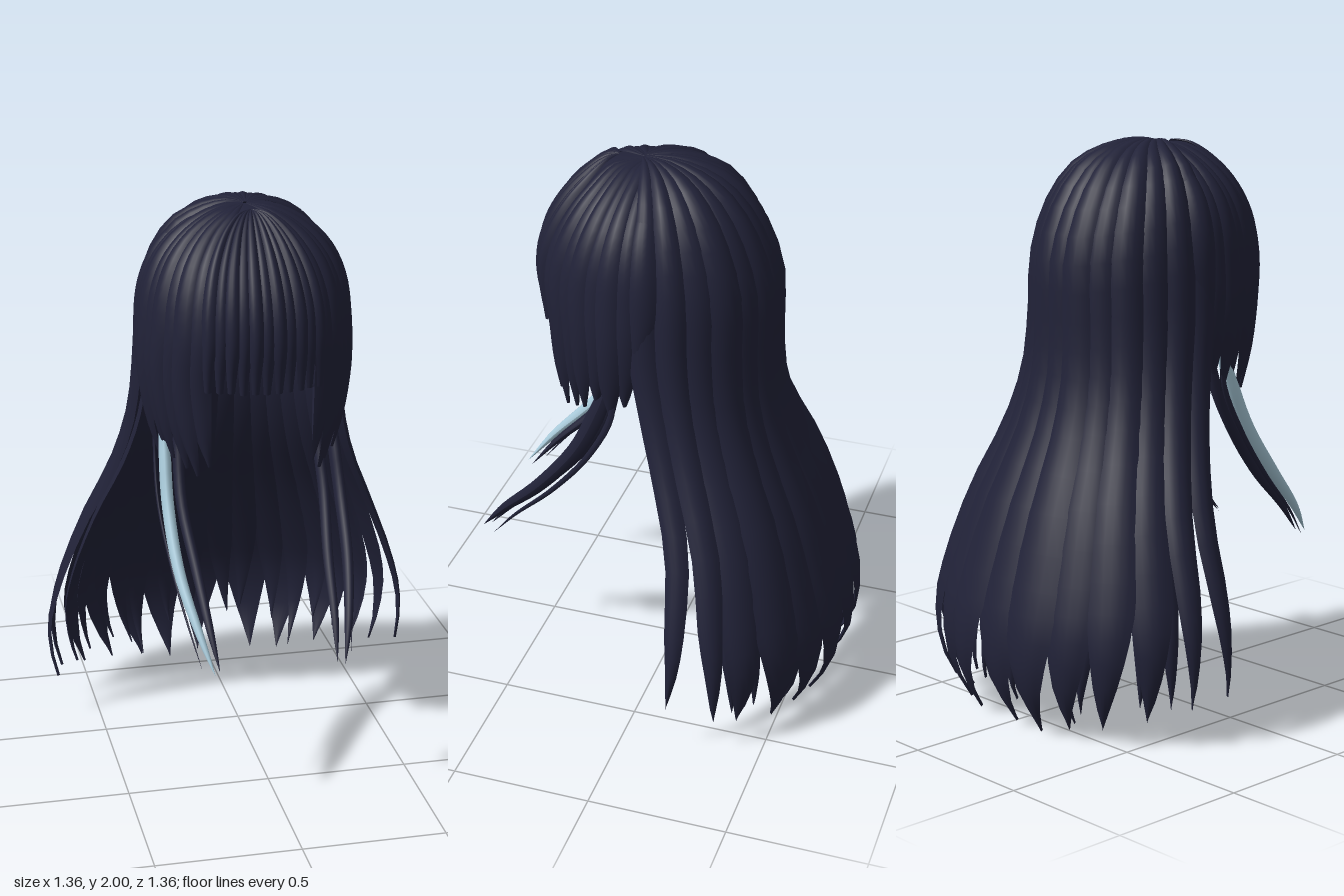
import * as THREE from 'three';

// Hair surface from rows of [half width, height, centre z, depth]; sign -1 = back, +1 = front
function makeShell(rows, sign) {
  const a = new THREE.CatmullRomCurve3(rows.map(r => new THREE.Vector3(r[0], r[1], r[2])));
  const b = new THREE.CatmullRomCurve3(rows.map(r => new THREE.Vector3(r[3], r[1], 0)));
  const point = (t, u) => {
    const p = a.getPoint(u), d = b.getPoint(u).x;
    return new THREE.Vector3(p.x * Math.sin(t), p.y, p.z + sign * d * Math.cos(t));
  };
  // Surface point pushed along the outward normal
  return (t, u, offset) => {
    const e = 0.004, p = point(t, u);
    const dt = point(t + e, u).sub(point(t - e, u));
    const du = point(t, Math.min(1, u + e)).sub(point(t, Math.max(0, u - e)));
    const n = dt.cross(du).normalize();
    const c = a.getPoint(u);
    const out = p.clone().sub(new THREE.Vector3(0, Math.min(p.y, 1.4), c.z));
    if (n.dot(out) < 0) n.negate();
    return p.addScaledVector(n, offset * Math.min(1, c.x / 0.25));
  };
}

const backShell = makeShell([
  [0, 1.988, 0.12, 0], [0.06, 1.995, 0.1, 0.08], [0.14, 1.973, 0.08, 0.17], [0.24, 1.91, 0.06, 0.26],
  [0.32, 1.78, 0.05, 0.35], [0.362, 1.6, 0.05, 0.415], [0.375, 1.4, 0.04, 0.41], [0.395, 1.2, 0, 0.38],
  [0.45, 1.0, -0.06, 0.375], [0.56, 0.75, -0.14, 0.405], [0.655, 0.5, -0.16, 0.475],
  [0.69, 0.33, -0.165, 0.515], [0.665, 0.15, -0.15, 0.525], [0.58, -0.02, -0.16, 0.43]], -1);

const fringeRows = [
  [0, 1.985, 0.2, 0], [0.1, 1.975, 0.16, 0.09], [0.21, 1.92, 0.13, 0.19], [0.3, 1.83, 0.11, 0.29],
  [0.35, 1.72, 0.1, 0.36], [0.37, 1.58, 0.1, 0.39], [0.375, 1.42, 0.1, 0.375],
  [0.355, 1.25, 0.1, 0.37], [0.31, 1.08, 0.1, 0.35]];
const fringeShell = makeShell(fringeRows, 1);
// Same dome reaching back to the crown, for the side locks
const sideShell = makeShell(fringeRows.map(([w, y, c, d], i) => {
  const centre = i === 0 ? 0.1 : 0.075;
  return [w, y, centre, i === 0 ? 0 : d + c - centre - 0.01];
}), 1);

// Grid of triangles from each sheet's point(i, j)
function grid(sheets, rows, cols) {
  const pos = [], idx = [];
  for (const point of sheets) {
    const base = pos.length / 3;
    for (let i = 0; i <= rows; i++) {
      for (let j = 0; j <= cols; j++) {
        const p = point(i / rows, j / cols);
        pos.push(p.x, p.y, p.z);
        if (i < rows && j < cols) {
          const a = base + i * (cols + 1) + j, b = a + cols + 1;
          idx.push(a, b, a + 1, a + 1, b, b + 1);
        }
      }
    }
  }
  const g = new THREE.BufferGeometry();
  g.setAttribute('position', new THREE.Float32BufferAttribute(pos, 3));
  g.setIndex(idx);
  g.computeVertexNormals();
  return g;
}

// Lens-section lock lying on a shell, tapering to its tip
function lockGeometry(shell, { t, half, u1, u0 = 0.01, thick = 0.02, lift = -0.015, end = 0, start = 0.7, power = 1.5, drift = 0 }) {
  const side = bulge => (s, k) => {
    const q = Math.max(0, (s - start) / (1 - start));
    const w = half * (1 - (1 - end) * q ** power);
    const a = k * 2 - 1;
    return shell(t + a * w + drift * q * q, u0 + (u1 - u0) * s,
      lift + bulge * (1 - a * a) * (1 - 0.6 * q));
  };
  return grid([side(thick), side(-thick * 0.3)], 26, 6);
}

// Free strand following a path, with an oval section
function wispGeometry(points, rx, rz) {
  const curve = new THREE.CatmullRomCurve3(points.map(p => new THREE.Vector3(...p)));
  return grid([(s, k) => {
    const tan = curve.getTangent(s), across = new THREE.Vector3(0, -tan.z, tan.y).normalize();
    const r = Math.min(1, 0.5 + s * 2) * Math.max(0, 1 - s ** 5), a = k * Math.PI * 2;
    const p = curve.getPoint(s).addScaledVector(across, Math.sin(a) * rz * r * (1.2 - 0.6 * s));
    p.x += Math.cos(a) * rx * r;
    return p;
  }], 24, 10);
}

export function createModel() {
  const model = new THREE.Group();
  model.name = 'longHair';
  const dark = new THREE.MeshStandardMaterial({ color: 0x212238, side: THREE.DoubleSide });
  dark.name = 'midnight hair';
  const pale = new THREE.MeshStandardMaterial({ color: 0xa9cbdb, side: THREE.DoubleSide });
  pale.name = 'pale blue hair';
  let seed = 7;
  const rand = () => (seed = (seed * 16807) % 2147483647) / 2147483647;
  const group = name => {
    const g = new THREE.Group();
    g.name = name;
    model.add(g);
    return g;
  };
  const add = (parent, name, geometry, material = dark) => {
    const m = new THREE.Mesh(geometry, material);
    m.name = name;
    parent.add(m);
  };

  // Smooth layers under the locks
  const under = group('underLayers');
  add(under, 'backUnderLayer', grid([(s, k) => backShell((k * 2 - 1) * (1.6 - 0.75 * s * s), 0.01 + 0.73 * s, -0.025)], 30, 40));
  add(under, 'frontUnderLayer', grid([(s, k) => sideShell((k * 2 - 1) * 1.75, 0.01 + 0.57 * s, -0.02)], 16, 40));

  // Long back hair in two overlapping layers; the outermost locks hang apart
  const back = group('backHair');
  for (let i = -6; i <= 6; i++) {
    const k = Math.abs(i), loose = k > 4;
    add(back, 'outerBackLock', lockGeometry(backShell, {
      t: i * 0.245, half: loose ? 0.14 : 0.15 + 0.05 * rand(),
      u1: 1 - 0.075 * (k / 6) ** 2 - 0.015 * rand(),
      lift: i % 2 ? -0.01 : -0.017, start: loose ? 0.62 : 0.7, power: loose ? 1.5 : 1.8,
      drift: k === 6 ? Math.sign(i) * 0.06 : (rand() - 0.5) * 0.14,
    }));
  }
  for (let i = 0; i < 14; i++) {
    add(back, 'innerBackLock', lockGeometry(backShell, {
      t: (i / 13 * 2 - 1) * 1.08, half: 0.1, u0: 0.3, u1: 0.92 + 0.07 * rand(), lift: -0.045,
      start: 0.6, drift: (rand() - 0.5) * 0.16,
    }));
  }

  // Blunt fringe
  const fringe = group('fringe');
  for (let i = -5; i <= 5; i++) {
    add(fringe, 'fringeLock', lockGeometry(fringeShell, {
      t: i * 0.112, half: 0.085, u1: 0.75 + 0.008 * rand(),
      lift: i % 2 ? -0.012 : -0.018, end: 0.4, start: 0.72, power: 1.3,
    }));
  }

  // Side locks framing the face and sweeping back to the crown
  const sides = group('sideLocks');
  const ends = [0.96, 0.99, 0.98, 0.96, 0.94, 0.97, 0.92, 0.78];
  for (const s of [-1, 1]) {
    ends.forEach((u1, i) => add(sides, 'sideLock', lockGeometry(sideShell, {
      t: s * (0.66 + i * 0.155), half: 0.14, u1,
      lift: i % 2 ? -0.01 : -0.017, end: 0.15, start: 0.76, power: 2, drift: -s * 0.04,
    })));
  }

  // Free wisps sweeping forward, three a side, one of them pale
  const wisps = group('frontWisps');
  const path = (s, x0, x1, x2, dz) => [[s * x0, 1.32, 0.13], [s * x0, 1.15, 0.185 + dz], [s * (x0 + 0.005), 0.97, 0.27 + dz],
    [s * x1, 0.78, 0.42 + dz], [s * (x1 + x2) / 2, 0.62, 0.58 + dz], [s * x2, 0.5, 0.68 + dz]];
  for (const s of [-1, 1]) {
    add(wisps, 'outerWisp', wispGeometry(path(s, 0.328, 0.315, 0.26, -0.055), 0.005, 0.012));
    add(wisps, 'innerWisp', wispGeometry(path(s, 0.25, 0.235, 0.205, -0.025), 0.02, 0.024));
    add(wisps, s < 0 ? 'paleWisp' : 'middleWisp',
      wispGeometry(path(s, 0.302, 0.298, 0.226, 0), 0.022, 0.032), s < 0 ? pale : dark);
  }

  return model;
}
